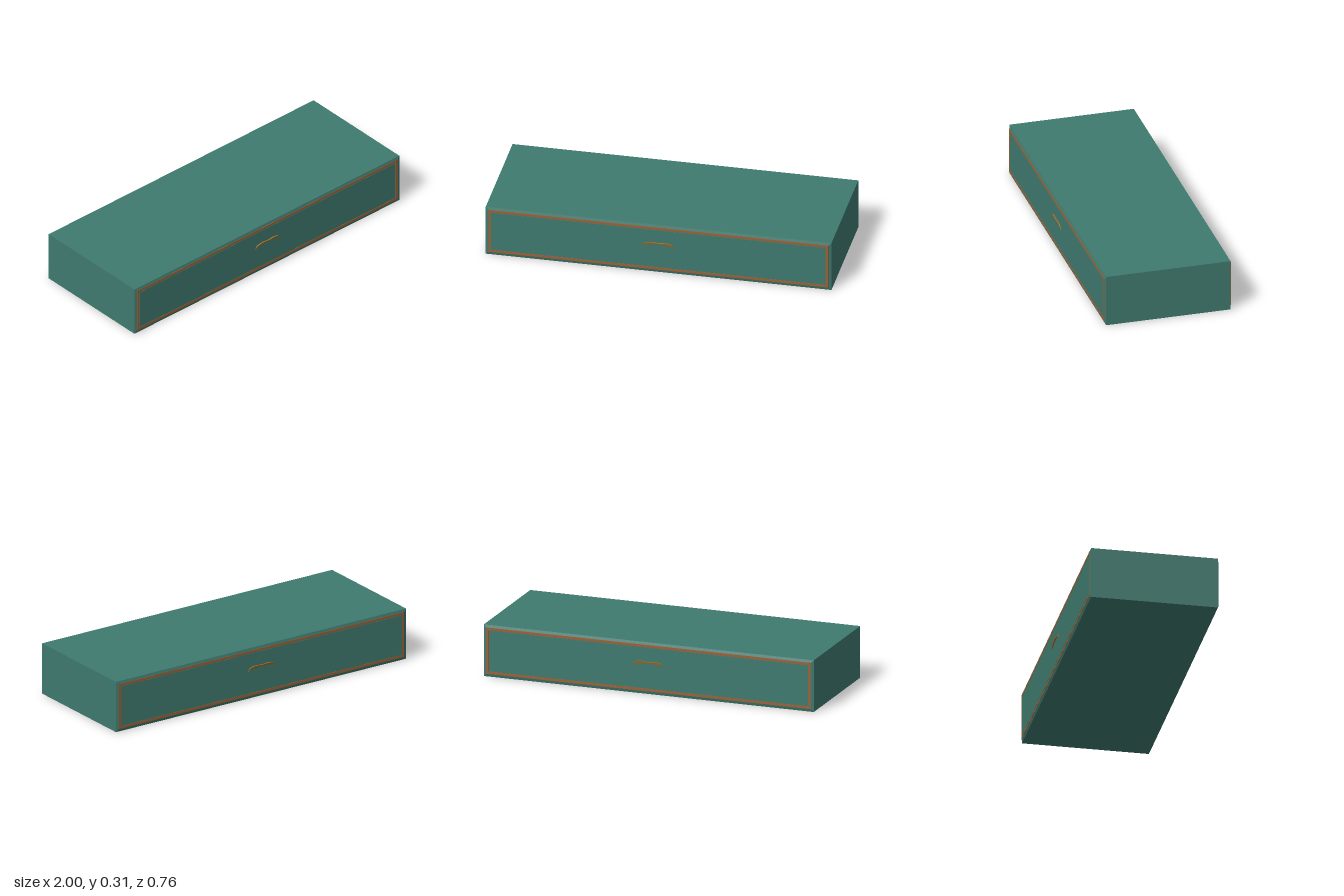
import * as THREE from 'three';

const W = 2, H = 0.305, MID = H / 2;
const FACE = 0.371; // z of the flat end faces

const teal = new THREE.MeshStandardMaterial({ color: 0x3f7a6f });
const brown = new THREE.MeshStandardMaterial({ color: 0x9a6238 });
const brass = new THREE.MeshStandardMaterial({ color: 0x9a7030 });

function rect(Type, w, h) {
  const x = w / 2, y = h / 2;
  return new Type([[-x, -y], [x, -y], [x, y], [-x, y]].map(p => new THREE.Vector2(...p)));
}

function addMesh(parent, name, geometry, material, y = 0, z = 0) {
  const mesh = new THREE.Mesh(geometry, material);
  mesh.name = name;
  mesh.position.set(0, y, z);
  parent.add(mesh);
  return mesh;
}

// Crescent pull whose upper edge leans out from the drawer face
function handleGeometry() {
  const s = new THREE.Shape();
  s.moveTo(-0.093, 0.166);
  s.lineTo(-0.086, 0.181);
  s.quadraticCurveTo(-0.07, 0.195, -0.03, 0.194);
  s.quadraticCurveTo(0, 0.189, 0.03, 0.194);
  s.quadraticCurveTo(0.07, 0.195, 0.086, 0.181);
  s.lineTo(0.093, 0.166);
  s.quadraticCurveTo(0.07, 0.182, 0, 0.183);
  s.quadraticCurveTo(-0.07, 0.182, -0.093, 0.166);
  const g = new THREE.ExtrudeGeometry(s, { depth: 1, bevelEnabled: false, curveSegments: 10 });
  const p = g.attributes.position;
  for (let i = 0; i < p.count; i++) {
    const front = 0.375 + (p.getY(i) - 0.166) * 0.24;
    p.setZ(i, p.getZ(i) > 0.5 ? front : FACE);
  }
  g.computeVertexNormals();
  return g;
}

// Drawer front, moulding and pull for one end
function createDrawerFace() {
  const face = new THREE.Group();
  addMesh(face, 'drawerPanel', new THREE.BoxGeometry(1.93, 0.238, 0.004), teal, MID + 0.001, FACE);

  const frame = rect(THREE.Shape, 1.966, 0.273);
  frame.holes.push(rect(THREE.Path, 1.936, 0.243));
  addMesh(face, 'drawerMoulding',
    new THREE.ExtrudeGeometry(frame, { depth: 0.003, bevelEnabled: false }), brown, MID + 0.001, FACE - 0.001);

  addMesh(face, 'drawerHandle', handleGeometry(), brass);
  return face;
}

export function createModel() {
  const model = new THREE.Group();
  model.name = 'drawerBox';

  // Solid case with shallow chamfers around both end faces
  const bevel = 0.005;
  const body = new THREE.ExtrudeGeometry(rect(THREE.Shape, W, H), {
    depth: 2 * (FACE - bevel), bevelEnabled: true, bevelSegments: 1,
    bevelThickness: bevel, bevelSize: 0.016, bevelOffset: -0.016,
  });
  addMesh(model, 'case', body, teal, MID, -(FACE - bevel));

  // Matching drawer faces on the front and back
  for (const [name, turn] of [['frontDrawer', 0], ['backDrawer', Math.PI]]) {
    const face = createDrawerFace();
    face.name = name;
    face.rotation.y = turn;
    model.add(face);
  }
  return model;
}
